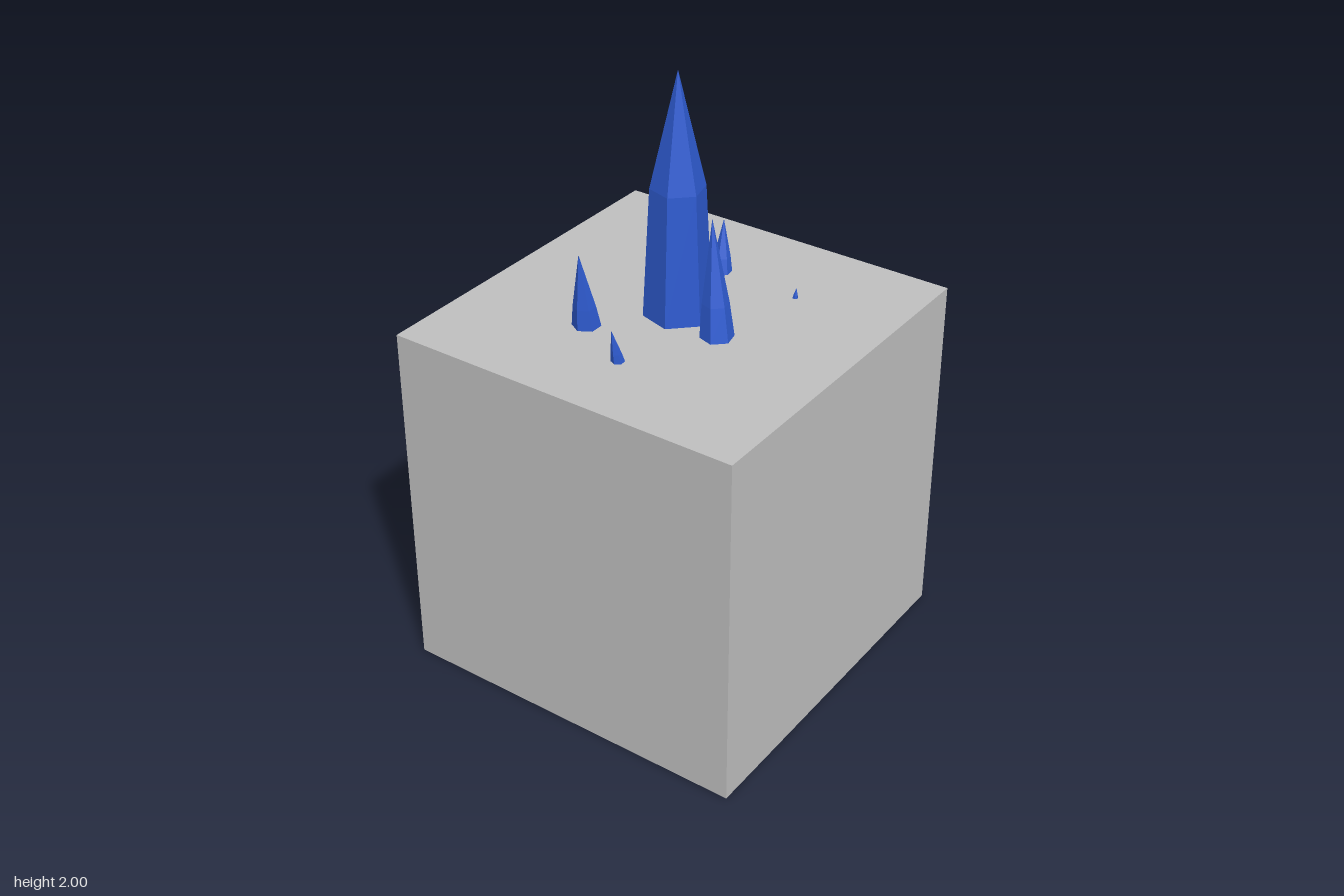
import * as THREE from 'three';

const TOP = 1.2;

// Six-sided crystal: base ring, narrower shoulder ring, and a leaning tip.
function crystalGeometry({ base, radius, tip, shoulder, turn }) {
  const [bx, bz] = base, [tx, ty, tz] = tip;
  const ring = (y, r) => {
    const t = (y - TOP) / (ty - TOP);
    return Array.from({ length: 6 }, (_, i) => {
      const a = THREE.MathUtils.degToRad(turn + i * 60);
      return [bx + (tx - bx) * t + r * Math.cos(a), y, bz + (tz - bz) * t + r * Math.sin(a)];
    });
  };
  const low = ring(TOP, radius), high = ring(shoulder, radius * 0.79);
  const points = [];
  for (let i = 0; i < 6; i++) {
    const j = (i + 1) % 6;
    points.push(low[i], high[i], low[j], low[j], high[i], high[j]);
    points.push(high[i], tip, high[j]);
    points.push(low[i], low[j], [bx, TOP, bz]);
  }
  const geometry = new THREE.BufferGeometry();
  geometry.setAttribute('position', new THREE.Float32BufferAttribute(points.flat(), 3));
  geometry.computeVertexNormals(); // unshared corners give flat facets
  return geometry;
}

export function createModel() {
  const model = new THREE.Group();
  model.name = 'crystalBlock';
  const stone = new THREE.MeshStandardMaterial({ color: 0xc0c0c0 });
  stone.name = 'grey stone';
  const blue = new THREE.MeshStandardMaterial({ color: 0x2f5cd2 });
  blue.name = 'blue crystal';

  // Stone cube
  const block = new THREE.Mesh(new THREE.BoxGeometry(1.2, TOP, 1.2), stone);
  block.name = 'stoneBlock';
  block.position.y = TOP / 2;
  model.add(block);

  // Crystals growing out of the top face
  const crystals = {
    mainCrystal: { base: [0.006, 0.009], radius: 0.107, tip: [0.023, 2, 0.032], shoulder: 1.63, turn: 16 },
    sideCrystal: { base: [0.183, 0.058], radius: 0.053, tip: [0.154, 1.577, 0.046], shoulder: 1.31, turn: 17 },
    frontRightCrystal: { base: [-0.175, 0.227], radius: 0.045, tip: [-0.168, 1.455, 0.265], shoulder: 1.27, turn: 30 },
    backCrystal: { base: [-0.036, -0.289], radius: 0.034, tip: [-0.04, 1.375, -0.306], shoulder: 1.25, turn: 22 },
    smallFrontCrystal: { base: [0.028, 0.342], radius: 0.021, tip: [0.023, 1.31, 0.364], shoulder: 1.23, turn: 25 },
    tinyBackCrystal: { base: [0.247, -0.275], radius: 0.009, tip: [0.25, 1.235, -0.276], shoulder: 1.21, turn: 10 },
  };
  for (const [name, spec] of Object.entries(crystals)) {
    const mesh = new THREE.Mesh(crystalGeometry(spec), blue);
    mesh.name = name;
    model.add(mesh);
  }
  return model;
}
